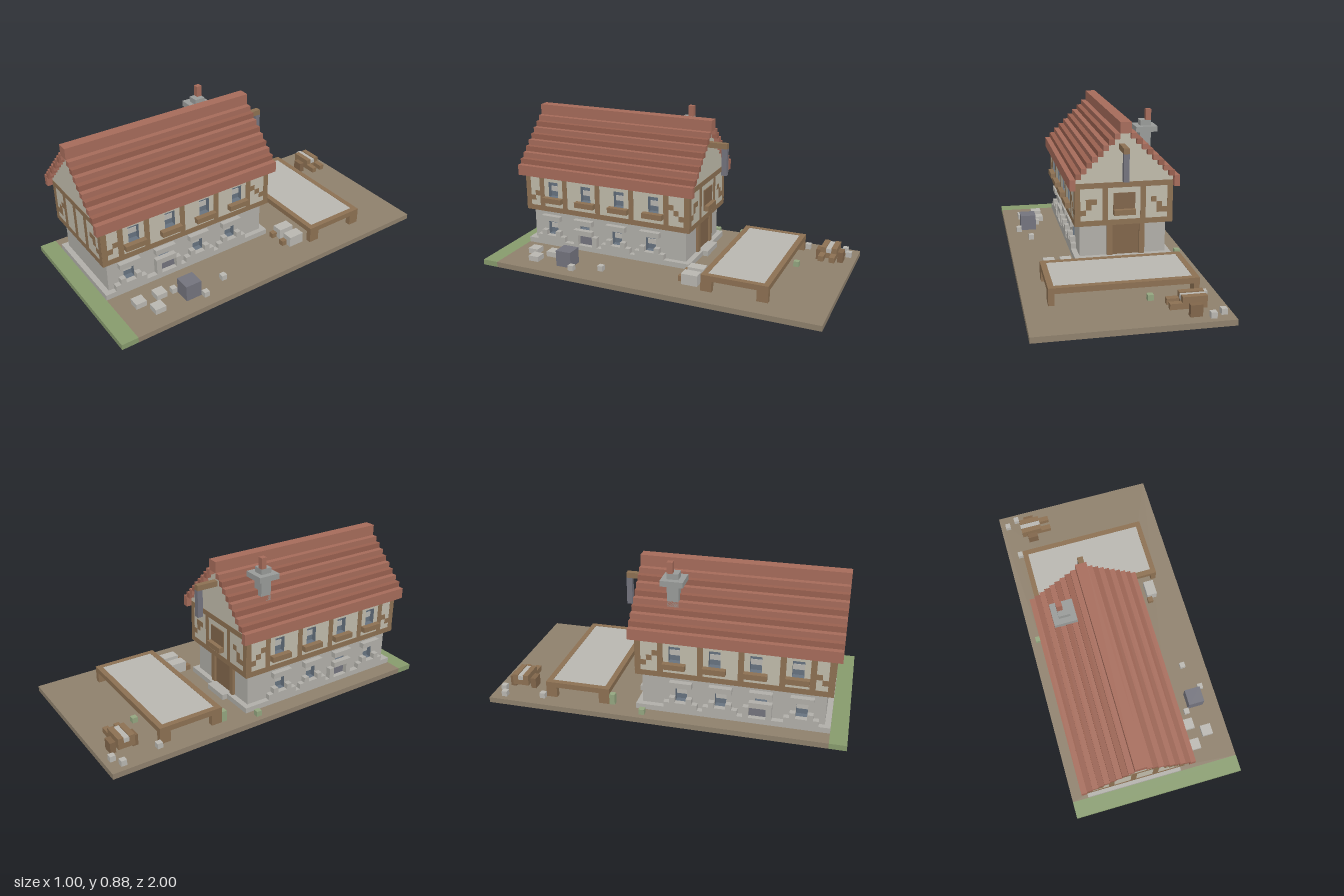
import * as THREE from 'three';

const U = 1 / 32; // one block
const COLORS = {
  stone: 0xb0aea8, plaster: 0xbfbaaa, timber: 0x8c7052, tileA: 0xa56b5a, tileB: 0x98604f,
  earth: 0x8e806c, grass: 0x869a6c, glass: 0x66727f, slate: 0x73737d, flue: 0x989a98,
  pale: 0xb8b6b0, leaf: 0x93a57f, door: 0x80654a,
};
const mats = {};
for (const k in COLORS) {
  mats[k] = new THREE.MeshStandardMaterial({ color: COLORS[k], flatShading: true, side: THREE.DoubleSide });
}

// Box from block ranges; omit lists faces left open: 0 +x, 1 -x, 2 +y, 3 -y, 4 +z, 5 -z
function block(parent, name, mat, [x0, x1], [y0, y1], [z0, z1], omit = []) {
  const g = new THREE.BoxGeometry((x1 - x0) * U, (y1 - y0) * U, (z1 - z0) * U);
  if (omit.length) {
    g.setIndex(Array.from(g.index.array).filter((_, i) => !omit.includes(Math.floor(i / 6))));
    g.clearGroups();
  }
  g.translate((x0 + x1) / 2 * U, (y0 + y1) / 2 * U, (z0 + z1) / 2 * U);
  const m = new THREE.Mesh(g, mats[mat]);
  m.name = name;
  parent.add(m);
  return m;
}

// Flat rectangle with rectangular holes, each given as [a0, a1, b0, b1]
function pierced(rect, holes) {
  const pts = ([a, b, c, d]) => [[a, c], [b, c], [b, d], [a, d]].map(p => new THREE.Vector2(p[0] * U, p[1] * U));
  const s = new THREE.Shape(pts(rect));
  holes.forEach(h => s.holes.push(new THREE.Path(pts(h).reverse())));
  return new THREE.ShapeGeometry(s);
}

function group(parent, name) {
  const g = new THREE.Group();
  g.name = name;
  parent.add(g);
  return g;
}

function buildGround(root) {
  const g = group(root, 'ground');
  // earth top, open under the room
  const top = new THREE.Mesh(pierced([-16, 16, -32, 29], [[-12, 4, -4, 28]]).rotateX(Math.PI / 2).translate(0, U, 0), mats.earth);
  top.name = 'earthTop';
  g.add(top);
  block(g, 'earthRim', 'earth', [-16, 16], [0, 1], [-32, 29], [2, 3, 4]);
  block(g, 'grassStrip', 'grass', [-16, 16], [0, 1], [29, 32], [3, 5]);
}

// One long wall with window recesses; s = +1 or -1 side of the house
function sideWall(parent, name, mat, s, half, y, z, windows) {
  const X = -4 + s * half;
  const geo = pierced([...z, ...y], windows).rotateY(-Math.PI / 2).translate(X * U, 0, 0);
  const wall = new THREE.Mesh(geo, mats[mat]);
  wall.name = name;
  parent.add(wall);
  const span = (a, b) => [Math.min(X + s * a, X + s * b), Math.max(X + s * a, X + s * b)];
  for (const [z0, z1, y0, y1] of windows) {
    block(parent, 'windowRecess', 'glass', span(-1, 0), [y0, y1], [z0, z1], [s > 0 ? 0 : 1]);
    if (y1 - y0 > 2) block(parent, 'windowPane', 'pale', span(-1, -0.9), [y0 + 1, y0 + 2], [z0, z1]);
  }
  return span;
}

function buildLowerStorey(root) {
  const g = group(root, 'lowerStorey');
  block(g, 'endWalls', 'stone', [-12, 4], [1, 8], [-4, 28], [0, 1, 2, 3]);
  // plinth
  block(g, 'plinthFront', 'stone', [-13, 5], [1, 2], [28, 29]);
  block(g, 'plinthBack', 'stone', [-13, 5], [1, 2], [-5, -4]);
  for (const s of [1, -1]) {
    const windows = [24, 17, 10, 3].map(c => [c - 1, c + 1, c === 17 ? 5 : 3, 6]);
    const span = sideWall(g, 'sideWall', 'stone', s, 8, [1, 8], [-4, 28], windows);
    const out = span(0, 1);
    block(g, 'plinthSide', 'stone', out, [1, 2], [-4, 28]);
    for (const c of [24, 17, 10, 3]) {
      block(g, 'lintel', 'stone', out, [6, 7], [c - 2, c + 2]);
      if (c === 17) continue;
      block(g, 'sill', 'stone', out, [2, 3], [c - 3, c + 3]);
      for (const d of [-2, 1]) block(g, 'jambStone', 'stone', out, [3, 4], [c + d, c + d + 1]);
    }
    // cellar hatch
    block(g, 'hatchLintel', 'stone', out, [4, 5], [15, 19]);
    for (const z of [14, 18]) block(g, 'hatchJamb', 'stone', out, [2, 4], [z, z + 1]);
    block(g, 'hatchDoor', 'slate', span(0, 0.1), [2, 4], [15, 18]);
  }
  // back door
  block(g, 'doorPanel', 'door', [-7, -2], [1, 8], [-4.1, -4]);
  for (const x of [-8, -2]) block(g, 'doorPost', 'timber', [x, x + 1], [1, 8], [-4.5, -4]);
  block(g, 'doorStep', 'stone', [-7, -2], [1, 2], [-6, -5]);
}

function buildUpperStorey(root) {
  const g = group(root, 'upperStorey');
  const e = 0.05; // timbers lie just proud of the plaster
  block(g, 'endWalls', 'plaster', [-13, 5], [8, 16], [-5, 29], [0, 1]);
  for (const s of [1, -1]) {
    const centres = [23, 16, 9, 2];
    const span = sideWall(g, 'sideWall', 'plaster', s, 9, [8, 16], [-5, 29], centres.map(c => [c - 1, c + 1, 11, 14]));
    const skin = span(0, e);
    block(g, 'sideBeam', 'timber', skin, [8, 9], [-5, 29]);
    block(g, 'sideBeamTop', 'timber', skin, [15, 16], [-5, 29]);
    for (const z of [28, 25, 20, 13, 6, -1, -5]) block(g, 'sidePost', 'timber', skin, [9, 15], [z, z + 1]);
    for (const [z, y] of [[27, 10], [26, 11], [-2, 12], [-3, 11], [-4, 10]]) {
      block(g, 'sideBrace', 'timber', skin, [y, y + 1], [z, z + 1]);
    }
    for (const c of centres) block(g, 'windowBox', 'timber', span(0, 1), [10, 11], [c - 2, c + 2]);
  }
  // timber framing on front and back
  for (const [z, posts] of [[[29, 29 + e], [-13, -9, -5, -1, 4]], [[-5 - e, -5], [-13, -8, -1, 4]]]) {
    for (const y of [8, 15]) block(g, 'endBeam', 'timber', [-13 - e, 5 + e], [y, y + 1], z);
    for (const x of posts) block(g, 'endPost', 'timber', [x, x + 1], [9, 15], z);
    for (const [x, y] of [[-12, 10], [-11, 10], [-11, 11], [-10, 12], [1, 12], [2, 11], [2, 12], [3, 10]]) {
      block(g, 'endBrace', 'timber', [x, x + 1], [y, y + 1], z);
    }
  }
  // loft hatch at the back
  block(g, 'loftHatch', 'door', [-6, -2], [10, 14], [-5.2, -5]);
  block(g, 'loftSill', 'timber', [-6, -2], [10, 11], [-6, -5]);
}

function buildRoof(root) {
  const g = group(root, 'roof');
  const run = [-6, 30];
  for (let i = 0; i < 9; i++) {
    block(g, 'gableCourse', 'plaster', [-13 + i, 5 - i], [16 + i, 17 + i], [-5, 29]);
    for (const x of [5 - i, -14 + i]) {
      block(g, 'tileCourse', i % 2 ? 'tileB' : 'tileA', [x, x + 1], [i ? 16 + i : 15, 17 + i], run);
    }
  }
  block(g, 'ridge', 'tileA', [-5, -3], [25, 27], run);
  // chimney
  const c = group(root, 'chimney');
  block(c, 'shaft', 'flue', [-10, -8], [19, 26], [0, 2]);
  block(c, 'cap', 'flue', [-11, -7], [24, 25], [-1, 3]);
  block(c, 'pot', 'tileA', [-10, -9], [26, 28], [0, 1]);
  // hoist
  const h = group(root, 'hoist');
  block(h, 'hoistBeam', 'timber', [-4, -3], [22, 23], [-9, -5]);
  block(h, 'hoistRope', 'slate', [-4, -3], [17, 22], [-9, -8]);
}

function buildYard(root) {
  // long table with a pale top
  const t = group(root, 'yardTable');
  for (const z of [-22, -11]) block(t, 'tableRail', 'timber', [-13, 12], [3, 4], [z, z + 1]);
  for (const x of [-13, 11]) block(t, 'tableEnd', 'timber', [x, x + 1], [3, 4], [-21, -11]);
  block(t, 'tableTop', 'pale', [-12, 11], [3, 3.95], [-21, -11]);
  for (const x of [-13, 11]) {
    for (const z of [-22, -12]) block(t, 'tableLeg', 'timber', [x, x + 1], [1, 3], [z, z + 2]);
  }
  // handcart
  const c = group(root, 'handcart');
  block(c, 'cartFloor', 'timber', [-12, -8], [2, 3], [-29, -26]);
  for (const z of [-29, -27]) {
    block(c, 'cartSide', 'timber', [-12, -8], [3, 4], [z, z + 1]);
    block(c, 'cartHandle', 'timber', [-8, -6], [2, 3], [z, z + 1]);
  }
  block(c, 'cartLoad', 'pale', [-12, -8], [3, 3.8], [-28, -27]);
  for (const z of [-30, -26]) block(c, 'cartWheel', 'door', [-11, -9], [1, 3], [z, z + 1]);
  // loose blocks: x, z, width, depth, height, material
  const s = group(root, 'looseBlocks');
  for (const [x, z, w, d, h, m] of [
    [6, -9, 2, 3, 2, 'pale'], [9, -9, 2, 3, 2, 'pale'], [6, -6, 1, 1, 1, 'timber'], [9, -6, 1, 1, 1, 'timber'],
    [10, 15, 3, 3, 3, 'slate'], [8, 20, 2, 2, 1, 'pale'], [8, 24, 2, 2, 1, 'pale'], [11, 22, 2, 2, 1, 'pale'],
    [9, 18, 1, 1, 1, 'pale'], [11, 9, 1, 1, 1, 'pale'], [13, 14, 1, 1, 1, 'pale'],
    [-15, -4, 1, 1, 1, 'leaf'], [-13, -10, 1, 1, 2, 'leaf'], [-14, -23, 1, 1, 1, 'pale'],
    [-5, -23, 1, 1, 1, 'leaf'], [-15, -30, 1, 1, 1, 'pale'], [-13, -31, 1, 1, 1, 'pale'],
    [-3, -16, 1, 1, 1, 'pale'],
  ]) block(s, 'looseBlock', m, [x, x + w], [1, 1 + h], [z, z + d]);
}

export function createModel() {
  const root = new THREE.Group();
  root.name = 'farmhouse';
  buildGround(root);
  buildLowerStorey(root);
  buildUpperStorey(root);
  buildRoof(root);
  buildYard(root);
  return root;
}
